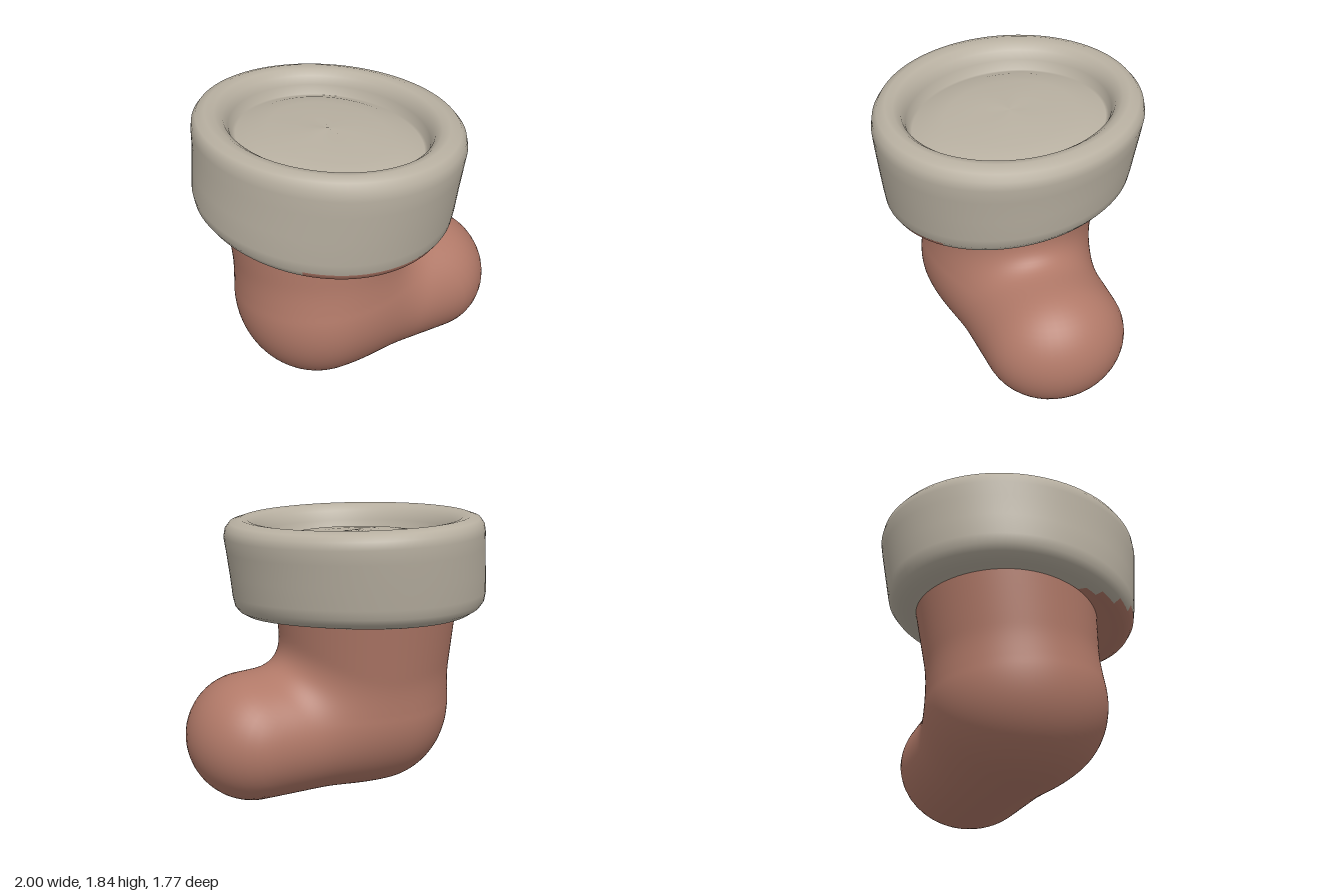
import * as THREE from 'three';
import { mergeVertices } from 'three/addons/utils/BufferGeometryUtils.js';

const clay = new THREE.MeshStandardMaterial({ color: 0xb17968 });
clay.name = 'clay red';
const fur = new THREE.MeshStandardMaterial({ color: 0xb8b0a1 });
fur.name = 'warm grey';

// Distance from p to a capsule whose radius runs from ra at a to rb at b
function capsule(p, a, b, ra, rb) {
  const ab = b.clone().sub(a);
  const t = THREE.MathUtils.clamp(p.clone().sub(a).dot(ab) / ab.lengthSq(), 0, 1);
  return p.distanceTo(ab.multiplyScalar(t).add(a)) - THREE.MathUtils.lerp(ra, rb, t);
}

const V = (x, y, z) => new THREE.Vector3(x, y, z);
const heel = V(-0.235, 0.64, 0.01), shin = V(-0.22, 1.6, -0.085);
const instep = V(-0.3, 0.47, 0.025), toe = V(0.583, 0.417, -0.033);

// Leg and foot softly joined, cut flat inside the cuff
function bootDistance(p) {
  const leg = capsule(p, heel, shin, 0.545, 0.62);
  const foot = capsule(V(p.x, p.y, p.z * 0.89), instep, toe, 0.44, 0.417);
  const k = 0.2, h = Math.max(k - Math.abs(leg - foot), 0) / k;
  return Math.max(Math.min(leg, foot) - h * h * k * 0.25, p.y - 1.45);
}

// A sphere whose points are pushed out along their rays to the boot surface
function bootGeometry() {
  let g = new THREE.SphereGeometry(1, 112, 84);
  const centre = V(-0.1, 0.5, 0), pos = g.attributes.position;
  for (let i = 0; i < pos.count; i++) {
    const dir = new THREE.Vector3().fromBufferAttribute(pos, i).normalize();
    let lo = 0, hi = 1.7;
    for (let n = 0; n < 22; n++) {
      const mid = (lo + hi) / 2;
      if (bootDistance(dir.clone().multiplyScalar(mid).add(centre)) < 0) lo = mid;
      else hi = mid;
    }
    const p = dir.multiplyScalar(lo).add(centre);
    pos.setXYZ(i, p.x, p.y, p.z);
  }
  g.deleteAttribute('normal');
  g.deleteAttribute('uv');
  g = mergeVertices(g, 1e-5);
  g.computeVertexNormals();
  return g;
}

// Cuff rings from underside, up the outside, over the rim and across the floor:
// [x min, x max, z radius, y]
const cuffRings = [
  [-0.70, 0.25, 0.48, 1.20],
  [-0.81, 0.40, 0.62, 1.155],
  [-0.87, 0.47, 0.70, 1.145],
  [-0.92, 0.525, 0.755, 1.155],
  [-0.965, 0.575, 0.80, 1.185],
  [-0.99, 0.605, 0.825, 1.225],
  [-1.00, 0.62, 0.835, 1.29],
  [-0.985, 0.635, 0.855, 1.44],
  [-0.97, 0.655, 0.875, 1.60],
  [-0.967, 0.67, 0.885, 1.70],
  [-0.96, 0.66, 0.875, 1.755],
  [-0.935, 0.63, 0.845, 1.795],
  [-0.88, 0.56, 0.79, 1.815],
  [-0.82, 0.51, 0.74, 1.805],
  [-0.77, 0.47, 0.695, 1.77],
  [-0.74, 0.445, 0.67, 1.71],
  [-0.72, 0.43, 0.655, 1.64],
  [-0.70, 0.41, 0.635, 1.64],
  [-0.62, 0.33, 0.55, 1.675],
  [-0.50, 0.21, 0.43, 1.695],
  [-0.33, 0.04, 0.21, 1.71],
  [-0.145, -0.145, 0, 1.715],
];

function cuffGeometry() {
  const N = 96, pts = [], grey = [], red = [];
  for (const [x0, x1, rz, y] of cuffRings) {
    const up = THREE.MathUtils.clamp((y - 1.15) / 0.65, 0, 1);
    for (let j = 0; j < N; j++) {
      const a = (j / N) * Math.PI * 2, s = Math.sin(a);
      const z = rz * Math.cos(a);
      const x = (x0 + x1) / 2 + ((x1 - x0) / 2) * s + 0.06 * z;
      // bottom dips to the front, top slopes down towards the toe
      const tilt = -0.075 * z * (1 - up) - 0.035 * (x + 0.17) * up;
      const sag = (0.035 - 0.015 * s) * (1 - up) * s * s;
      pts.push(x, y + tilt + sag, z);
    }
  }
  // The front of the underside shows the boot colour
  const redReach = [1.3, 1.2, 1.05, 0.9, 0.7];
  for (let i = 0; i < cuffRings.length - 1; i++) {
    for (let j = 0; j < N; j++) {
      const k = (j + 1) % N;
      const a = i * N + j, b = i * N + k, c = b + N, d = a + N;
      const fromFront = (Math.min(j, N - j) / N) * Math.PI * 2;
      (fromFront < (redReach[i] ?? -1) ? red : grey).push(a, b, c, a, c, d);
    }
  }
  const g = new THREE.BufferGeometry();
  g.setAttribute('position', new THREE.Float32BufferAttribute(pts, 3));
  g.setIndex([...grey, ...red]);
  g.addGroup(0, grey.length, 0);
  g.addGroup(grey.length, red.length, 1);
  g.computeVertexNormals();
  return g;
}

export function createModel() {
  const model = new THREE.Group();
  model.name = 'boot';
  const boot = new THREE.Mesh(bootGeometry(), clay);
  boot.name = 'legAndFoot';
  const cuff = new THREE.Mesh(cuffGeometry(), [fur, clay]);
  cuff.name = 'cuff';
  model.add(boot, cuff);
  return model;
}
